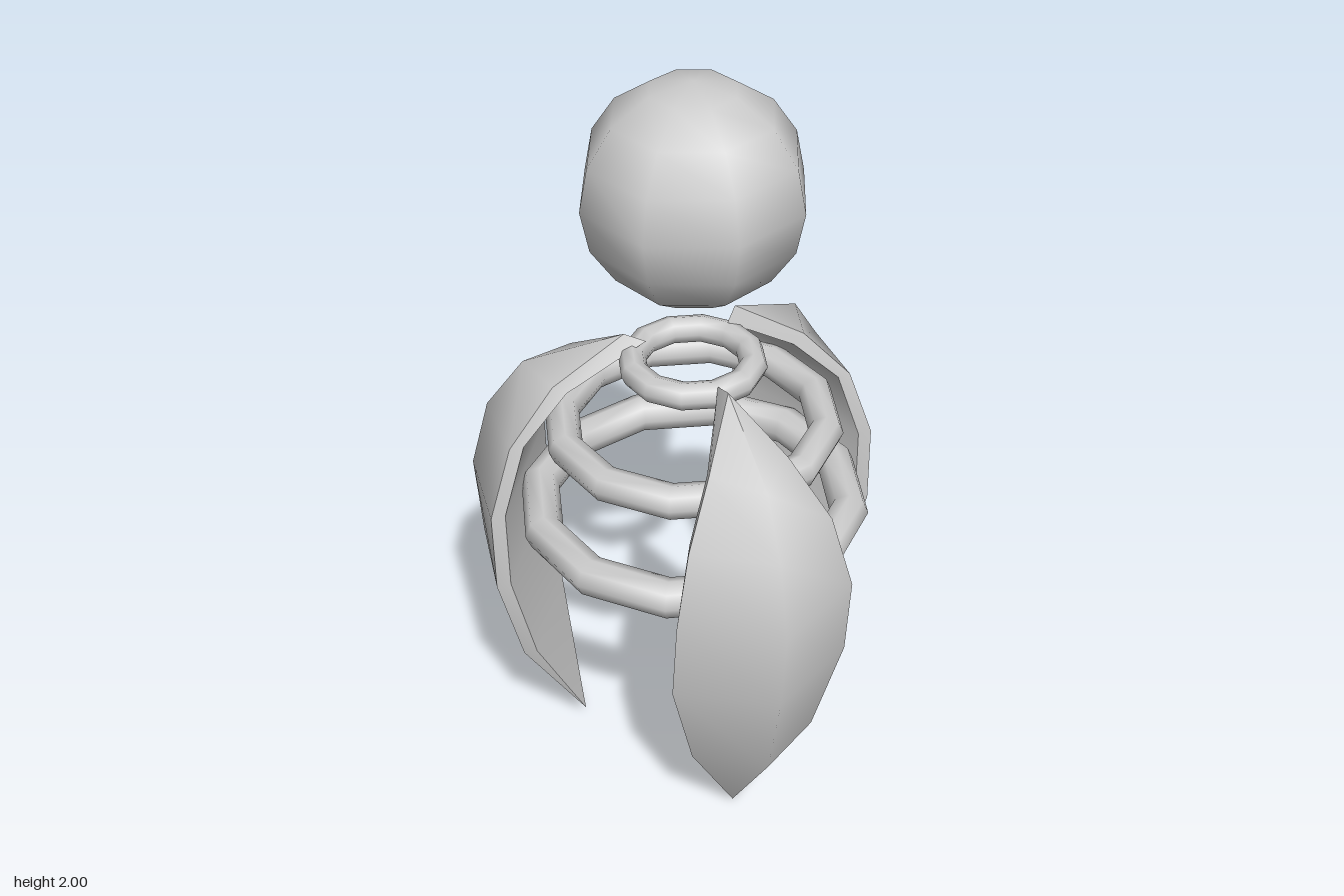
import * as THREE from 'three';

// Smooth surface through rows of points (columns run left to right, rows bottom to top)
function surface(rows) {
  const n = rows[0].length, index = [];
  for (let i = 0; i < rows.length - 1; i++) {
    for (let j = 0; j < n - 1; j++) {
      const a = i * n + j, b = a + n;
      index.push(a, a + 1, b, a + 1, b + 1, b);
    }
  }
  const g = new THREE.BufferGeometry();
  g.setAttribute('position', new THREE.Float32BufferAttribute(rows.flat(2), 3));
  g.setIndex(index);
  g.computeVertexNormals();
  return g;
}

export function createModel() {
  const model = new THREE.Group();
  model.name = 'petalCage';
  const grey = new THREE.MeshStandardMaterial({ color: 0xcccccc });
  grey.name = 'light grey';

  const body = new THREE.Group();
  body.name = 'body';
  body.position.set(0.005, 0, -0.075);
  model.add(body);

  const add = (name, geometry, parent = body) => {
    const mesh = new THREE.Mesh(geometry, grey);
    mesh.name = name;
    parent.add(mesh);
    return mesh;
  };

  // Floating ball
  add('ball', new THREE.SphereGeometry(0.278, 8, 8)).position.set(0.004, 1.722, 0);

  // Three stacked rings: height, radius, tube radius
  [[0.83, 0.4, 0.05], [1.073, 0.333, 0.044], [1.25, 0.15, 0.035]].forEach(([y, r, tube], i) => {
    const ring = add('ring' + (i + 1), new THREE.TorusGeometry(r, tube, 8, 12).rotateX(Math.PI / 2));
    ring.position.y = y;
  });

  // Three curved petals: a ridged outer face, a flat inner face and thin rims.
  // Each row gives height, edge radius, half width, ridge radius
  const petal = (name, degrees, outer, innerTop) => {
    const last = outer.length - 1;
    const inner = outer.map(([y, edge, w], i) => {
      if (i === 0) return [y, edge, 0];
      if (i === last) return innerTop;
      return [y - (i === last - 1 ? 0.02 : 0), edge - 0.032, w * 0.92];
    });
    const left = ([y, edge, w]) => [w, y, edge];
    const mid = ([y, , , ridge]) => [0, y, ridge];
    const right = ([y, edge, w]) => [-w, y, edge];

    const group = new THREE.Group();
    group.name = name;
    group.rotation.y = THREE.MathUtils.degToRad(degrees);
    body.add(group);
    add('outerFace', surface(outer.map(p => [right(p), mid(p), left(p)])), group);
    add('innerFace', surface(inner.map(p => [left(p), right(p)])), group);
    add('leftRim', surface(outer.map((p, i) => [left(p), left(inner[i])])), group);
    add('rightRim', surface(outer.map((p, i) => [right(inner[i]), right(p)])), group);
  };

  petal('frontPetal', 0, [
    [0, 0.285, 0, 0.285],
    [0.34, 0.41, 0.165, 0.515],
    [0.61, 0.447, 0.23, 0.58],
    [0.84, 0.475, 0.228, 0.605],
    [1.03, 0.44, 0.183, 0.56],
    [1.18, 0.36, 0.1, 0.475],
    [1.305, 0.23, 0, 0.23],
  ], [1.28, 0.165, 0]);

  // The back pair lean in a little more at the top
  const backRows = (bottomR, bottomY, topY) => [
    [bottomY, bottomR, 0, bottomR],
    [0.37, 0.43, 0.163, 0.51],
    [0.65, 0.47, 0.23, 0.565],
    [0.87, 0.472, 0.228, 0.58],
    [1.06, 0.425, 0.183, 0.53],
    [1.2, 0.33, 0.1, 0.43],
    [topY, 0.17, 0, 0.17],
  ];
  petal('backLeftPetal', 120.5, backRows(0.345, 0, 1.325), [1.29, 0.14, 0]);
  petal('backRightPetal', -121.5, backRows(0.31, 0.035, 1.31), [1.295, 0.115, 0]);

  return model;
}
